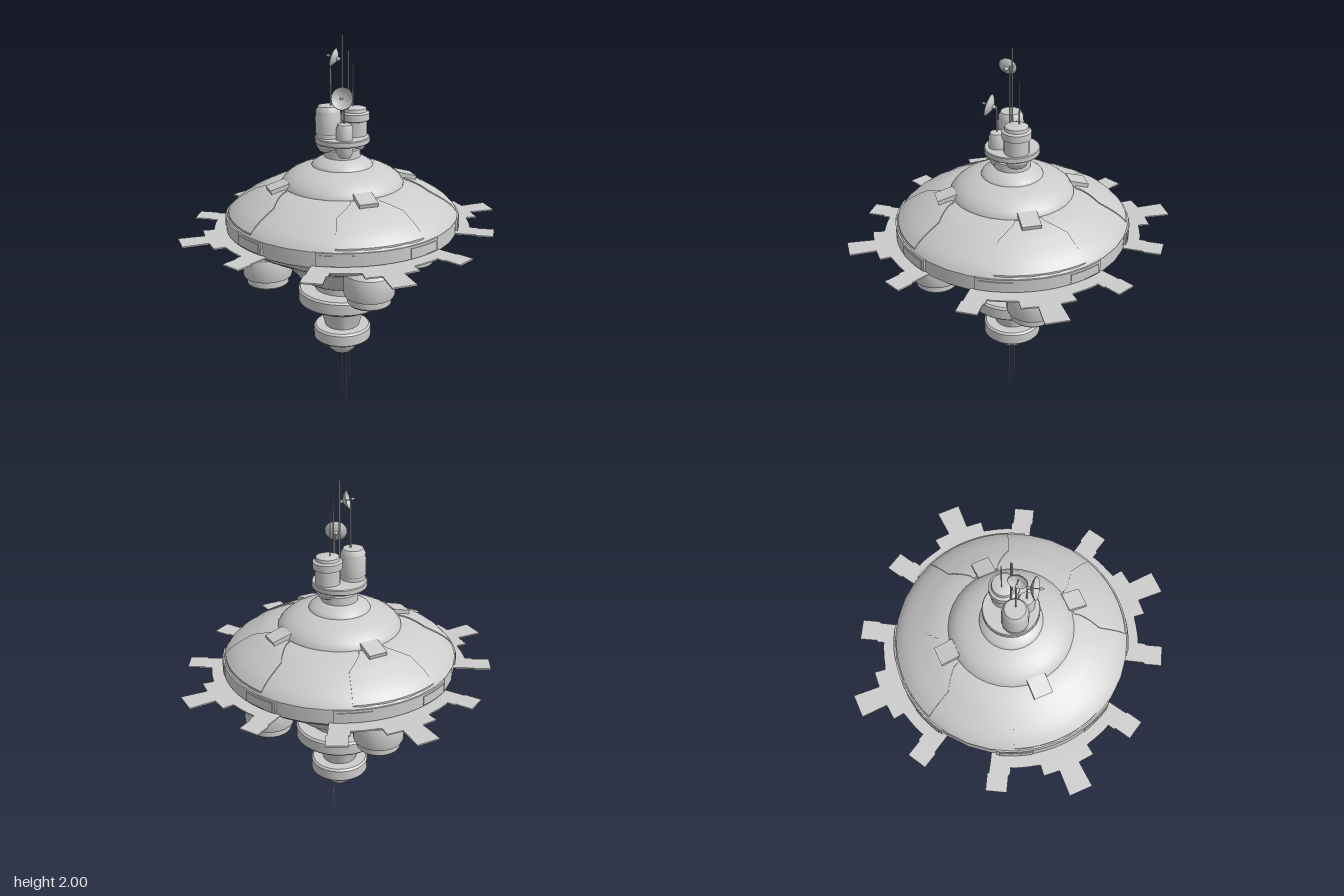
import * as THREE from 'three';
import { toCreasedNormals } from 'three/addons/utils/BufferGeometryUtils.js';

const grey = new THREE.MeshStandardMaterial({ color: 0xcccccc });
const rad = THREE.MathUtils.degToRad;
const V2 = (p) => new THREE.Vector2(p[0], p[1]);

export function createModel() {
  const model = new THREE.Group();

  const add = (name, geometry, parent = model) => {
    const mesh = new THREE.Mesh(geometry, grey);
    mesh.name = name;
    parent.add(mesh);
    return mesh;
  };
  // Turned solid from [radius, height] points, listed bottom to top
  const turned = (points, sides = 32) =>
    toCreasedNormals(new THREE.LatheGeometry(points.map(V2), sides), 0.5);
  const spline = (points, n) => new THREE.SplineCurve(points.map(V2)).getPoints(n).map((p) => [p.x, p.y]);
  // Flat shape laid in the horizontal plane and thickened upwards from y
  const slab = (shape, y, height) =>
    new THREE.ExtrudeGeometry(shape, { depth: height, bevelEnabled: false, curveSegments: 16 })
      .rotateX(-Math.PI / 2).translate(0, y, 0);
  const arcShape = (r0, r1, a0, a1) => {
    const s = new THREE.Shape();
    s.absarc(0, 0, r1, a0, a1, false);
    s.absarc(0, 0, r0, a1, a0, true);
    return s;
  };
  // Four copies of a part around the vertical axis, on the diagonals
  const onDiagonals = (name, build) => {
    for (let i = 0; i < 4; i++) {
      const g = new THREE.Group();
      g.name = name + (i + 1);
      g.rotation.y = Math.PI / 4 + i * Math.PI / 2;
      build(g);
      model.add(g);
    }
  };

  // Saucer hull
  const upper = spline([[0.588, 1.106], [0.565, 1.135], [0.52, 1.17], [0.45, 1.21], [0.385, 1.241], [0.31, 1.262]], 14);
  const lower = spline([[0.36, 0.9], [0.42, 0.925], [0.49, 0.962], [0.55, 0.998], [0.585, 1.027]], 12);
  add('hull', turned([[0, 0.9], ...lower, [0.585, 1.106], ...upper, [0, 1.262]]));
  add('upperDome', turned([[0.312, 1.25], [0.31, 1.268], [0.295, 1.29], [0.265, 1.315], [0.225, 1.335],
    [0.18, 1.35], [0.155, 1.356], [0.15, 1.366], [0.13, 1.38], [0.105, 1.395], [0.092, 1.4], [0.09, 1.44], [0.07, 1.44], [0.07, 1.5]]));
  add('lowerCone', turned([[0.145, 0.72], [0.205, 0.745], [0.235, 0.765], [0.26, 0.8], [0.33, 0.875], [0.335, 0.91]]));

  // Height of the hull skin at a radius
  const skin = (pts, r) => {
    const p = pts[0][0] < pts[pts.length - 1][0] ? pts : [...pts].reverse();
    let i = 0;
    while (i < p.length - 2 && p[i + 1][0] < r) i++;
    const t = (r - p[i][0]) / (p[i + 1][0] - p[i][0]);
    return p[i][1] + t * (p[i + 1][1] - p[i][1]);
  };
  // Raised skin plate: outline is [radius, half angle], its border row is sunk into the hull
  const skinPlate = (pts, outline, side) => {
    const rows = [];
    outline.forEach(([r, a], i) => {
      if (i === 0) return rows.push([r, a]);
      const [pr, pa] = outline[i - 1];
      for (let k = 1; k <= 5; k++) rows.push([pr + (r - pr) * k / 5, pa + (a - pa) * k / 5]);
    });
    rows.unshift(rows[0]);
    rows.push(rows[rows.length - 1]);
    const cols = 18, pos = [], idx = [];
    rows.forEach(([r, a], i) => {
      for (let j = 0; j <= cols; j++) {
        const edge = i === 0 || i === rows.length - 1 || j === 0 || j === cols;
        const t = (Math.min(Math.max(j, 1), cols - 1) - 1) / (cols - 2);
        const phi = rad(a) * (2 * t - 1);
        pos.push(r * Math.cos(phi), skin(pts, r) + side * (edge ? -0.008 : 0.006), -r * Math.sin(phi));
        if (i === rows.length - 1 || j === cols) continue;
        const p = i * (cols + 1) + j, q = p + cols + 1;
        if (side > 0) idx.push(p, q, p + 1, p + 1, q, q + 1);
        else idx.push(p, p + 1, q, p + 1, q + 1, q);
      }
    });
    const g = new THREE.BufferGeometry();
    g.setAttribute('position', new THREE.Float32BufferAttribute(pos, 3));
    g.setIndex(idx);
    return toCreasedNormals(g, 0.5);
  };
  onDiagonals('skinPlates', (g) => {
    add('upperPlate', skinPlate(upper, [[0.32, 12], [0.343, 12.7], [0.438, 22.5], [0.58, 22.3]], 1), g);
    add('lowerPlate', skinPlate(lower, [[0.37, 33], [0.43, 23], [0.53, 22.5]], -1), g);
  });

  // Rim armour and the tabs at the foot of the dome
  onDiagonals('rimArmour', (g) => {
    add('rimPanel', slab(arcShape(0.55, 0.594, rad(-31), rad(31)), 1.04, 0.066), g);
    for (const s of [-1, 1])
      add('rimBlock', slab(arcShape(0.56, 0.598, rad(s * 21.5 - 8), rad(s * 21.5 + 8)), 1.046, 0.048), g);
    const tab = add('domeTab', new THREE.BoxGeometry(0.1, 0.03, 0.095), g);
    tab.position.set(0.337, 1.266, 0);
    tab.rotation.z = -0.28;
  });

  // Docking fins: thin toothed plates, outlined on one half and mirrored
  const tooth = rad(29.3);
  const half = [[0.84, 0.06], [0.707, 0.053], [0.7, 0.134], [0.645, 0.127]];
  for (let a = 13; a <= 23; a += 2.5) half.push([0.655 * Math.cos(rad(a)), 0.655 * Math.sin(rad(a))]);
  for (const [u, v] of [[0.65, -0.06], [0.685, -0.06], [0.69, -0.052], [0.775, -0.052], [0.775, 0.052],
    [0.69, 0.052], [0.685, 0.044], [0.6, 0.042], [0.5, 0.04]])
    half.push([u * Math.cos(tooth) - v * Math.sin(tooth), u * Math.sin(tooth) + v * Math.cos(tooth)]);
  const finShape = new THREE.Shape([...[...half].reverse().map(([x, y]) => [x, -y]), ...half].map(V2));
  onDiagonals('dockingFin', (g) => add('finPlate', slab(finShape, 1.028, 0.007), g));

  // Engine pods under the hull
  const pod = turned([[0, 0.762], [0.098, 0.762], [0.108, 0.772], [0.108, 0.802], [0.122, 0.808], [0.126, 0.82],
    [0.126, 0.895], [0.118, 0.922], [0.095, 0.94], [0, 0.95]], 24);
  onDiagonals('enginePod', (g) => { add('pod', pod, g).position.x = 0.403; });

  // Lower spindle with two collars
  add('lowerSpindle', turned([[0, 0.308], [0.05, 0.308], [0.068, 0.325], [0.082, 0.352], [0.095, 0.39], [0.095, 0.465],
    [0.09, 0.465], [0.12, 0.565], [0.145, 0.567], [0.145, 0.725]], 28));
  const collar = (name, r, y0, y1, hole, c = 0.01) => add(name, turned([[hole, y0], [r - c, y0], [r, y0 + c],
    [r, y1 - c], [r - c, y1], [hole, y1]], 32));
  collar('largeCollar', 0.232, 0.608, 0.686, 0.1);
  collar('smallCollar', 0.152, 0.39, 0.466, 0.05);

  // Tank cluster on top, held by a ring
  collar('tankRing', 0.138, 1.472, 1.502, 0, 0.004);
  const tanks = [
    ['tallTank', -0.057, 0.042, [[0, 1.425], [0.045, 1.43], [0.062, 1.46], [0.062, 1.52], [0.065, 1.525],
      [0.065, 1.605], [0.062, 1.615], [0.062, 1.635], [0.05, 1.658], [0, 1.66]]],
    ['cappedTank', 0.045, -0.052, [[0, 1.425], [0.045, 1.43], [0.062, 1.46], [0.062, 1.575], [0.073, 1.58],
      [0.073, 1.615], [0.06, 1.622], [0.057, 1.638], [0.04, 1.643], [0, 1.645]]],
    ['smallTank', 0.042, 0.06, [[0, 1.408], [0.03, 1.412], [0.042, 1.44], [0.042, 1.555], [0.034, 1.578], [0, 1.583]]],
  ];
  for (const [name, x, z, profile] of tanks) add(name, turned(profile, 24)).position.set(x, 0, z);

  // Masts above and antennae below: x, z, bottom, top, radius
  for (const [name, x, z, y0, y1, r] of [
    ['mainMast', 0, 0, 1.45, 2, 0.004], ['sideMast', 0.03, -0.005, 1.45, 1.927, 0.003],
    ['rearMast', 0.03, -0.058, 1.6, 1.857, 0.003], ['dishMast', -0.044, 0.04, 1.6, 1.885, 0.004],
    ['lowDishMast', 0.042, 0.062, 1.57, 1.71, 0.004], ['longAntenna', 0.025, 0.003, 0, 0.4, 0.003],
    ['middleAntenna', 0, 0.003, 0.04, 0.4, 0.003], ['shortAntenna', 0.028, -0.028, 0.12, 0.4, 0.003],
  ]) add(name, new THREE.CylinderGeometry(r, r, y1 - y0, 8)).position.set(x, (y0 + y1) / 2, z);

  // Dishes with a feed horn, aimed along a direction
  const dish = (name, r, position, aim) => {
    const g = new THREE.Group();
    g.name = name;
    add('bowl', turned([[0, -0.016], [r * 0.35, -0.014], [r * 0.7, -0.006], [r, 0.006], [r * 0.96, 0.009],
      [r * 0.68, -0.001], [r * 0.35, -0.009], [0, -0.011]], 20), g);
    add('feed', new THREE.CylinderGeometry(0.004, 0.002, 0.05, 8), g).position.y = 0.015;
    add('horn', new THREE.CylinderGeometry(0.003, 0.008, 0.016, 8), g).position.y = 0.036;
    add('hub', new THREE.CylinderGeometry(0.012, 0.008, 0.018, 10), g).position.y = -0.02;
    g.position.set(...position);
    g.quaternion.setFromUnitVectors(new THREE.Vector3(0, 1, 0), new THREE.Vector3(...aim).normalize());
    model.add(g);
  };
  dish('upperDish', 0.046, [-0.022, 1.895, 0.04], [-1, 0.3, 0.15]);
  dish('lowerDish', 0.056, [0.047, 1.712, 0.095], [0.2, 0.25, 1]);

  return model;
}
